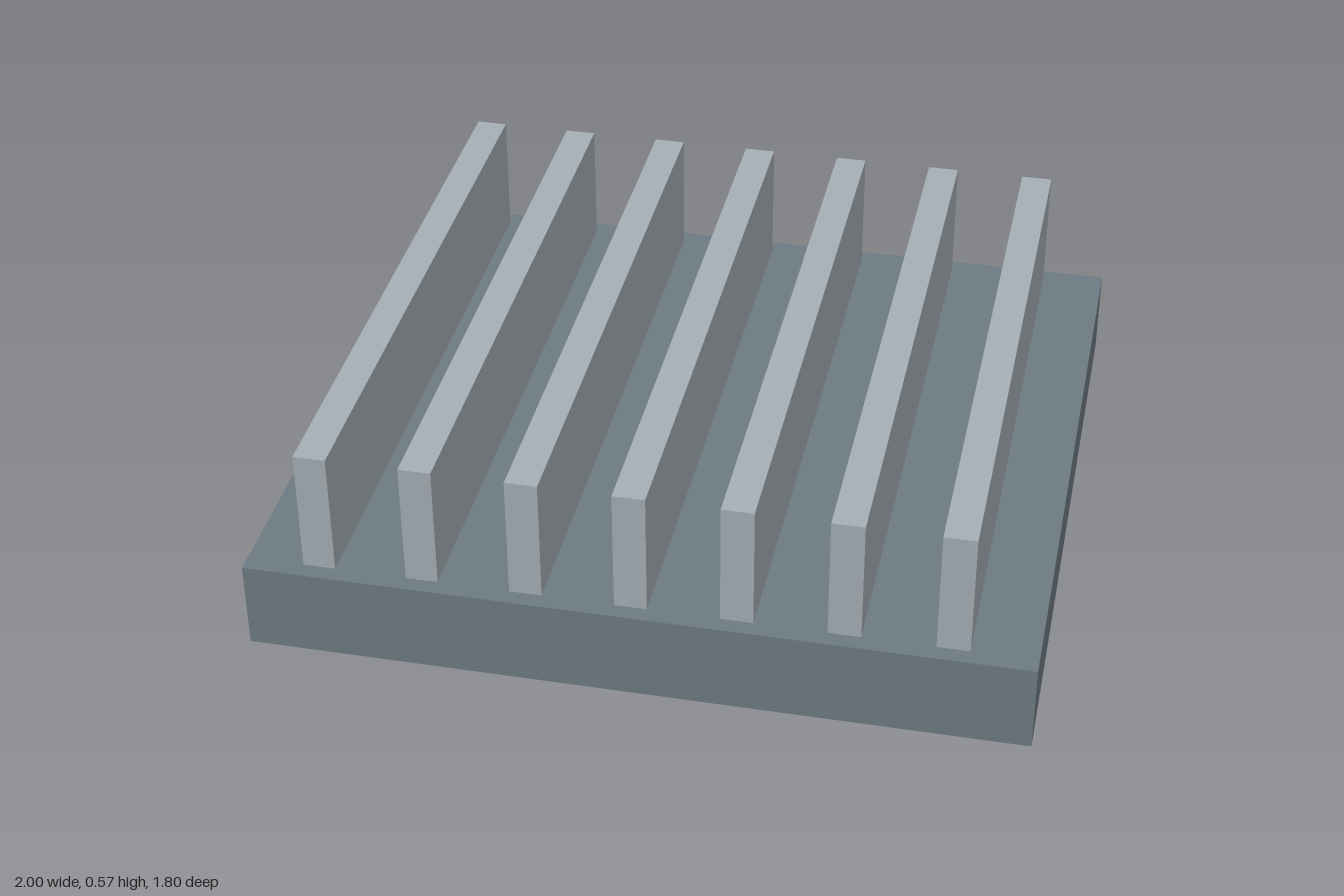
import * as THREE from 'three';

export function createModel() {
  const model = new THREE.Group();
  model.name = 'heatSink';

  const baseMaterial = new THREE.MeshStandardMaterial({ color: 0x6e7b83 });
  baseMaterial.name = 'dark grey metal';
  const finMaterial = new THREE.MeshStandardMaterial({ color: 0xa5aeb6 });
  finMaterial.name = 'light grey metal';

  // Base plate
  const baseHeight = 0.238;
  const base = new THREE.Mesh(new THREE.BoxGeometry(2, baseHeight, 1.8), baseMaterial);
  base.name = 'basePlate';
  base.position.y = baseHeight / 2;
  model.add(base);

  // Row of seven upright fins, set slightly toward -x
  const finHeight = 0.335;
  const finGeometry = new THREE.BoxGeometry(0.083, finHeight, 1.713);
  const fins = new THREE.Group();
  fins.name = 'fins';
  for (let i = 0; i < 7; i++) {
    const fin = new THREE.Mesh(finGeometry, finMaterial);
    fin.name = `fin${i + 1}`;
    fin.position.set(-0.811 + i * 0.267, baseHeight + finHeight / 2, 0);
    fins.add(fin);
  }
  model.add(fins);

  return model;
}
